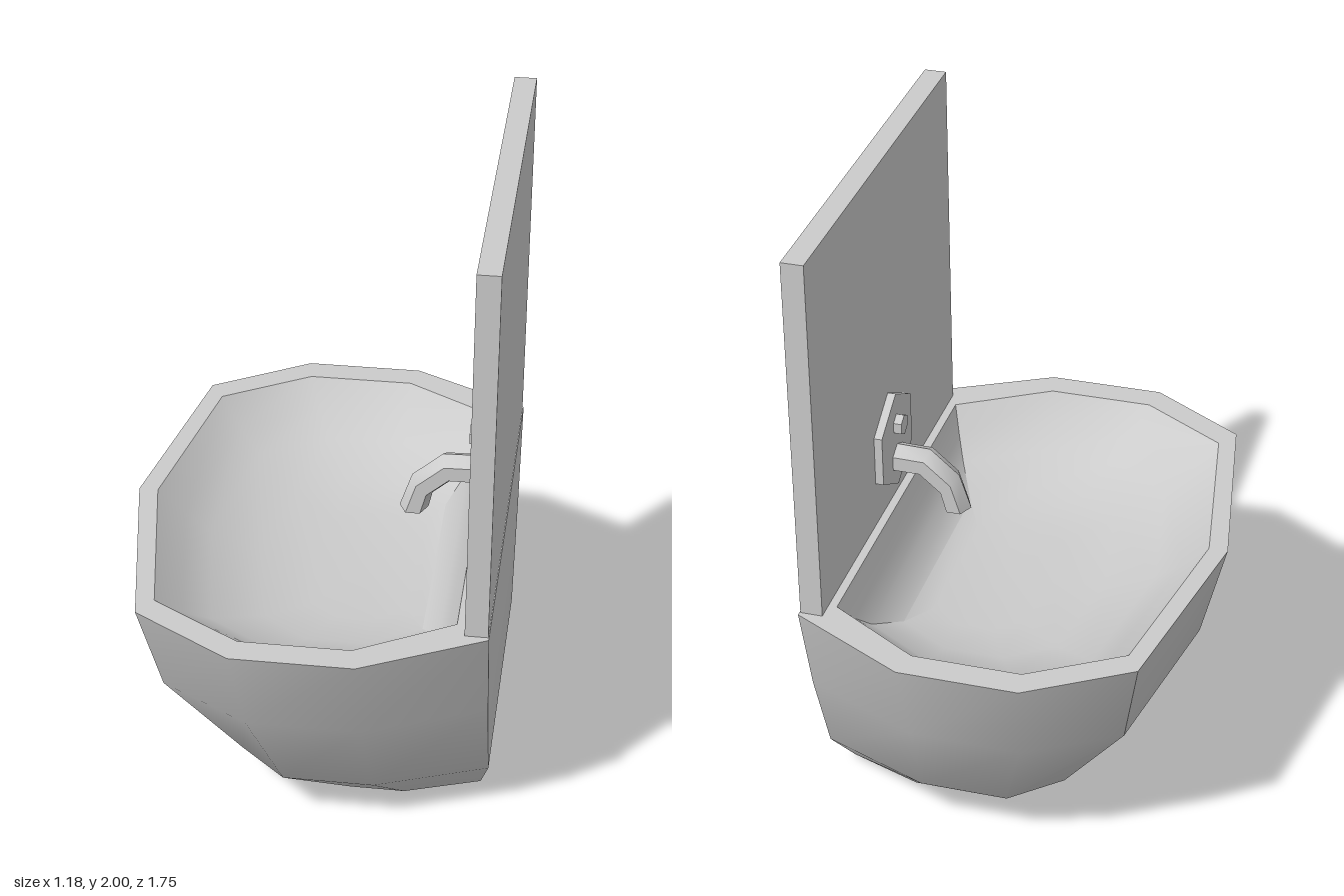
import * as THREE from 'three';
import { toCreasedNormals } from 'three/addons/utils/BufferGeometryUtils.js';

const material = new THREE.MeshStandardMaterial({ color: 0xcccccc });

// Skin a stack of closed rings (arrays of Vector3) and cap both ends.
function loft(rings, crease) {
  const pos = [];
  const tri = (...v) => v.forEach((p) => pos.push(p.x, p.y, p.z));
  const centre = (ring) =>
    ring.reduce((s, p) => s.add(p), new THREE.Vector3()).divideScalar(ring.length);
  const n = rings[0].length;
  const last = rings[rings.length - 1];
  const start = centre(rings[0]);
  const end = centre(last);
  for (let i = 0; i < n; i++) {
    const j = (i + 1) % n;
    for (let r = 0; r + 1 < rings.length; r++) {
      const [a, b] = [rings[r], rings[r + 1]];
      tri(a[i], b[i], a[j]);
      tri(a[j], b[i], b[j]);
    }
    tri(start, rings[0][i], rings[0][j]);
    tri(end, last[j], last[i]);
  }
  const g = new THREE.BufferGeometry();
  g.setAttribute('position', new THREE.Float32BufferAttribute(pos, 3));
  return toCreasedNormals(g, crease);
}

// Nine-sided basin outline: four corners mirrored across z, plus the front point.
function basinRing(y, xs, zCorner, zSide) {
  const zs = [zCorner, zSide, zSide, zCorner, 0];
  const half = xs.map((x, i) => new THREE.Vector3(x, y, zs[i]));
  const mirrored = half.slice(0, 4).reverse().map((p) => new THREE.Vector3(p.x, y, -p.z));
  return [...half, ...mirrored];
}

export function createModel() {
  const group = new THREE.Group();
  const add = (name, geometry, x = 0, y = 0, z = 0) => {
    const mesh = new THREE.Mesh(geometry, material);
    mesh.name = name;
    mesh.position.set(x, y, z);
    group.add(mesh);
  };

  // Shallow dished inside, easing from the inner rim to a small floor
  const innerRim = basinRing(0.8, [0.488, 0.195, -0.145, -0.425, -0.53], 0.61, 0.785);
  const floor = basinRing(0.575, [0.3, 0.2, 0.09, 0.01, -0.03], 0.235, 0.3);
  const dish = [[0, 0], [0.17, 0.36], [0.34, 0.63], [0.67, 0.91], [1, 1]].map(([inward, drop]) =>
    innerRim.map((p, i) => {
      const q = p.clone().lerp(floor[i], inward);
      q.y = THREE.MathUtils.lerp(p.y, floor[i].y, drop);
      return q;
    }));

  // Basin: up the outside, over the rim, down the inside
  add('basin', loft([
    basinRing(0, [0.557, 0.32, 0.15, 0.04, 0], 0.33, 0.415),
    basinRing(0.16, [0.588, 0.24, -0.04, -0.19, -0.25], 0.465, 0.6),
    basinRing(0.48, [0.588, 0.215, -0.13, -0.41, -0.51], 0.59, 0.755),
    basinRing(0.8, [0.588, 0.215, -0.16, -0.47, -0.59], 0.68, 0.875),
    ...dish,
  ], 0.6));

  // Upright panel standing on the rear of the rim
  add('backPanel', new THREE.BoxGeometry(0.07, 1.2, 1.334), 0.55, 1.4, 0);

  // Hexagonal wall plate and tap button, points up, facing -x
  const hexagon = (name, radius, depth, x, y) => {
    const g = new THREE.CylinderGeometry(radius, radius, depth, 6);
    g.rotateY(Math.PI / 6).rotateZ(Math.PI / 2);
    add(name, toCreasedNormals(g, 0.6), x, y, 0);
  };
  hexagon('wallPlate', 0.167, 0.028, 0.503, 1.032);
  hexagon('button', 0.035, 0.03, 0.478, 1.09);

  // Spout: hexagonal rings spanning matching outer and inner bend points
  const stations = [
    [0.495, 1.015, 0.495, 0.92],
    [0.38, 1.012, 0.41, 0.92],
    [0.285, 0.93, 0.35, 0.868],
    [0.247, 0.815, 0.338, 0.815],
  ];
  add('spout', loft(stations.map(([ox, oy, ix, iy]) =>
    Array.from({ length: 6 }, (_, i) => {
      const a = (i * Math.PI) / 3;
      const t = (1 - Math.cos(a)) / 2;
      return new THREE.Vector3(ox + (ix - ox) * t, oy + (iy - oy) * t, 0.055 * Math.sin(a));
    })
  ), 0.8));

  return group;
}
